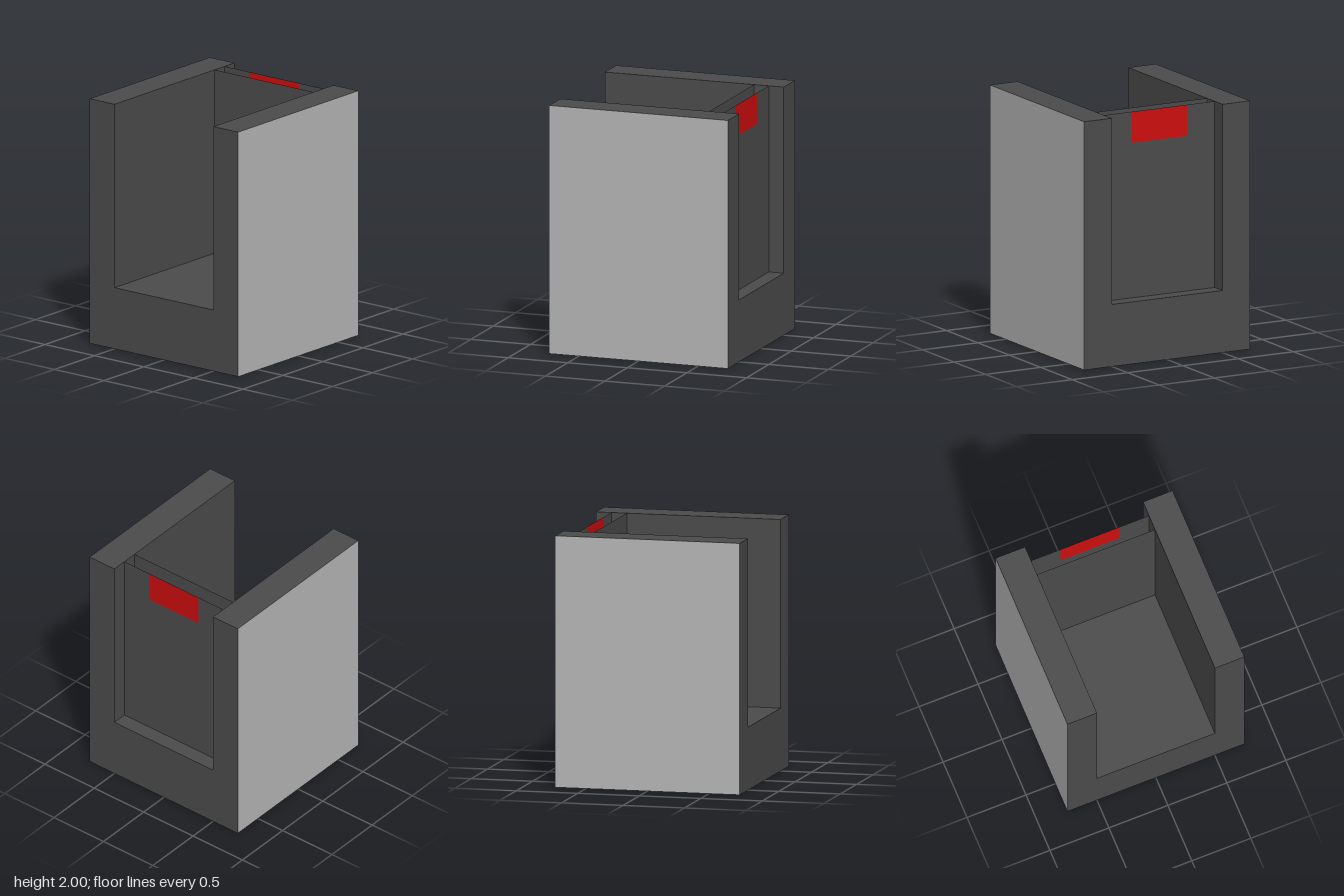
import * as THREE from 'three';

export function createModel() {
  const model = new THREE.Group();
  const lightGrey = new THREE.MeshStandardMaterial({ name: 'lightGrey', color: 0xb6b6b6 });
  const darkGrey = new THREE.MeshStandardMaterial({ name: 'darkGrey', color: 0x4b4b4b });
  const red = new THREE.MeshStandardMaterial({ name: 'red', color: 0xcd0e0e });
  // The thin sheets are seen from both sides
  darkGrey.side = red.side = THREE.DoubleSide;

  const add = (name, geometry, material, x, y, z) => {
    const mesh = new THREE.Mesh(geometry, material);
    mesh.name = name;
    mesh.position.set(x, y, z);
    model.add(mesh);
    return mesh;
  };

  // Front and back walls, light only on their outer faces
  for (const s of [1, -1]) {
    const faces = Array(6).fill(darkGrey);
    faces[s > 0 ? 4 : 5] = lightGrey;
    add(s > 0 ? 'frontWall' : 'backWall', new THREE.BoxGeometry(1.5, 2, 0.25), faces, 0, 1, s * 0.625);
  }

  // Thick floor between the walls
  add('floor', new THREE.BoxGeometry(1.5, 0.5, 1), darkGrey, 0, 0.25, 0);

  // Inner sheet of the open-topped pocket
  add('innerPanel', new THREE.PlaneGeometry(1, 1.5), darkGrey, 0.5, 1.25, 0).rotation.y = Math.PI / 2;

  // Outer sheet, notched at the top to receive the red patch
  const outline = new THREE.Shape([
    [-0.5, 0.5], [0.5, 0.5], [0.5, 2], [0.25, 2],
    [0.25, 1.75], [-0.25, 1.75], [-0.25, 2], [-0.5, 2],
  ].map(([x, y]) => new THREE.Vector2(x, y)));
  add('outerPanel', new THREE.ShapeGeometry(outline), darkGrey, 0.625, 0, 0).rotation.y = Math.PI / 2;
  add('redPatch', new THREE.PlaneGeometry(0.5, 0.25), red, 0.625, 1.875, 0).rotation.y = Math.PI / 2;

  return model;
}
